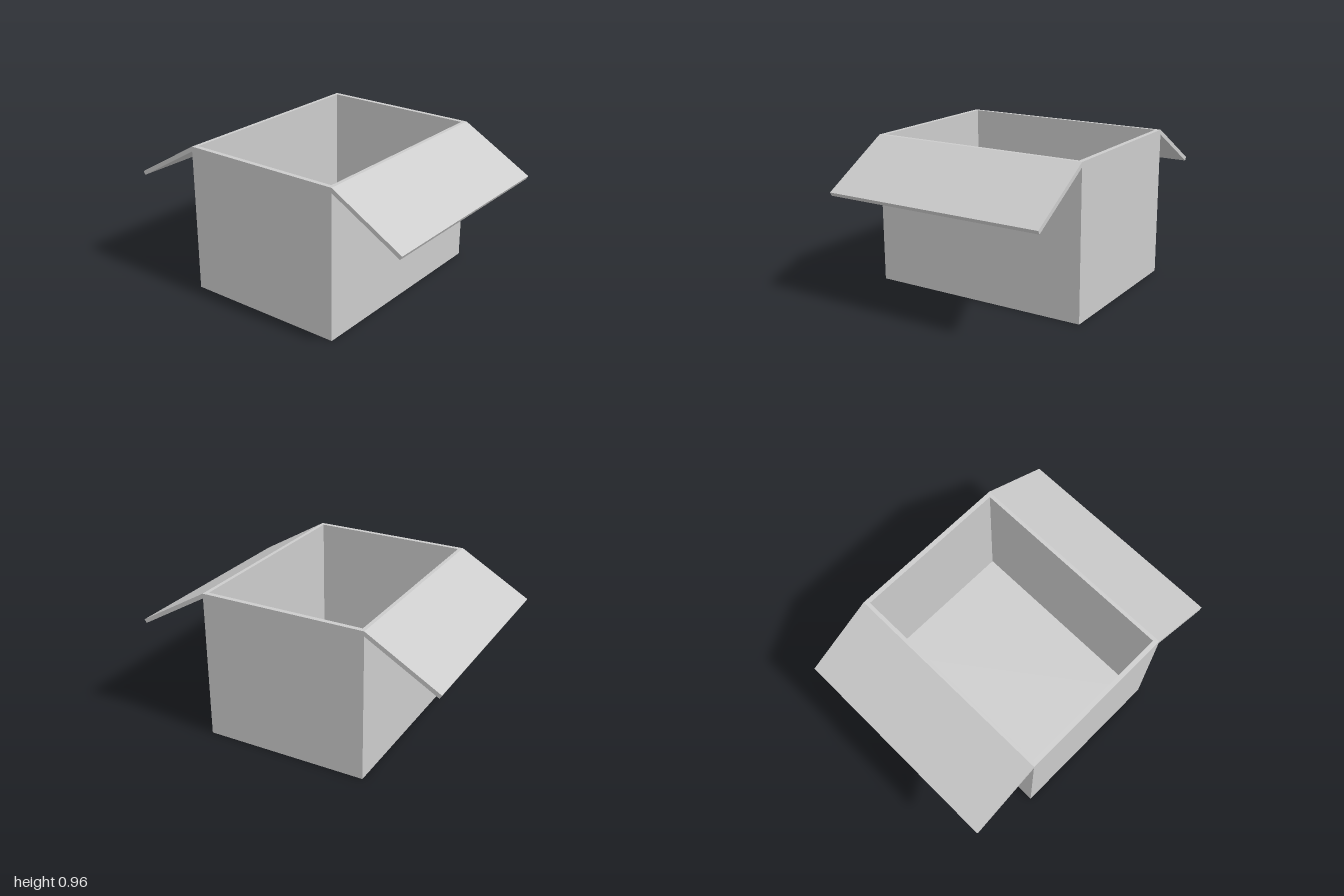
import * as THREE from 'three';

const W = 0.718, D = 0.534, H = 0.96; // half width, half depth, height
const WALL_X = 0.03, WALL_Z = 0.024, FLOOR = 0.027;

const rect = (Type, w, d) => new Type([
  new THREE.Vector2(-w, -d), new THREE.Vector2(w, -d),
  new THREE.Vector2(w, d), new THREE.Vector2(-w, d),
]);

export function createModel() {
  const model = new THREE.Group();
  const material = new THREE.MeshStandardMaterial({ color: 0xcccccc, flatShading: true });
  const add = (name, geometry) => {
    const mesh = new THREE.Mesh(geometry, material);
    mesh.name = name;
    model.add(mesh);
    return mesh;
  };

  // Four walls as one open frame standing on the floor panel
  const frame = rect(THREE.Shape, W, D);
  frame.holes.push(rect(THREE.Path, W - WALL_X, D - WALL_Z));
  const walls = new THREE.ExtrudeGeometry(frame, { depth: H - FLOOR, bevelEnabled: false });
  walls.rotateX(-Math.PI / 2).translate(0, FLOOR, 0);
  add('walls', walls);

  // Floor
  add('floor', new THREE.BoxGeometry(2 * W, FLOOR, 2 * D).translate(0, FLOOR / 2, 0));

  // Flaps folded outwards, sloping down 30 degrees; profile drawn in z and y
  const profile = new THREE.Shape([
    new THREE.Vector2(D, H - 0.031), new THREE.Vector2(0.987, 0.667),
    new THREE.Vector2(1, 0.69), new THREE.Vector2(D, H),
  ]);
  const flap = new THREE.ExtrudeGeometry(profile, { depth: 2 * W, bevelEnabled: false });
  flap.translate(0, 0, -W).rotateY(-Math.PI / 2);
  add('frontFlap', flap);
  add('backFlap', flap).rotation.y = Math.PI;

  return model;
}
